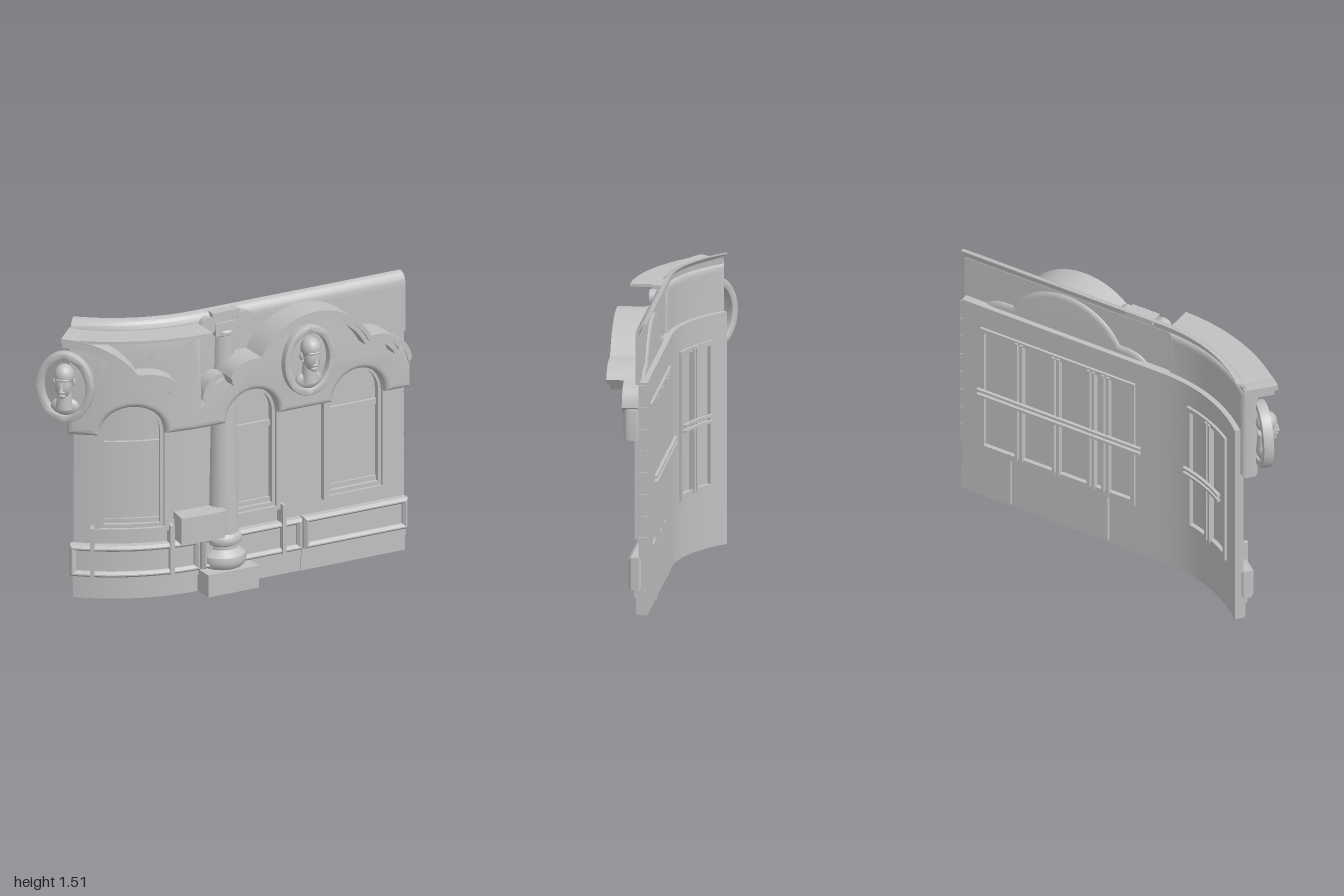
import * as THREE from 'three';
import { toCreasedNormals } from 'three/addons/utils/BufferGeometryUtils.js';

const stone = new THREE.MeshStandardMaterial({ color: 0xc0c0c0, side: THREE.DoubleSide });
stone.name = 'grey stone';

// The facade is flat for x > BEND and wraps round an arc to the right of that
const BEND = -0.2, R = 0.844, ARC = 0.87, LEFT_BAY = -0.86, RIGHT_BAY = 0.39;
const WINDOWS = [0.70, 0.08, -0.55];

function bendPoint(p) {
  if (p.x >= BEND) return p.clone();
  const a = (BEND - p.x) / ARC, r = R + p.z;
  return new THREE.Vector3(BEND - r * Math.sin(a), p.y, r * Math.cos(a) - R);
}

// Cuts triangles at x = c so that long faces can follow the arc
function slice(tris, c) {
  const out = [];
  for (const t of tris) {
    const side = t.map(p => p.x < c - 1e-6 ? -1 : p.x > c + 1e-6 ? 1 : 0);
    if (!side.includes(-1) || !side.includes(1)) { out.push(t); continue; }
    const i = side.findIndex((s, k) => s && !side.some((o, j) => j !== k && o === s));
    const a = t[i], b = t[(i + 1) % 3], d = t[(i + 2) % 3];
    const cut = q => a.clone().lerp(q, THREE.MathUtils.clamp((c - a.x) / (q.x - a.x), 0, 1));
    const p = cut(b), q = cut(d);
    out.push([a, p, q], [p, b, d], [p, d, q]);
  }
  // Drop slivers with no area
  return out.filter(([a, b, d]) => b.clone().sub(a).cross(d.clone().sub(a)).length() > 1e-9);
}

function bend(geo) {
  const pos = (geo.index ? geo.toNonIndexed() : geo).attributes.position;
  let tris = [];
  for (let i = 0; i < pos.count; i += 3)
    tris.push([0, 1, 2].map(k => new THREE.Vector3().fromBufferAttribute(pos, i + k)));
  for (let k = 0; k < 11; k++) tris = slice(tris, BEND - k * 0.065);
  const g = new THREE.BufferGeometry().setFromPoints(tris.flat().map(bendPoint));
  return toCreasedNormals(g, 0.6);
}

// Hood outline for one half of a bay, from the crown to the tail
function hoodHalf() {
  const pts = [], v = (x, y) => new THREE.Vector2(x, y);
  for (let i = 0; i <= 14; i++) {
    const a = 1.072 * i / 14;
    pts.push(v(0.3645 * Math.sin(a), 1.1055 + 0.3645 * Math.cos(a)));
  }
  const shoulder = new THREE.QuadraticBezierCurve(v(0.32, 1.28), v(0.46, 1.29), v(0.5, 1.2));
  const tail = new THREE.QuadraticBezierCurve(v(0.5, 1.2), v(0.59, 1.19), v(0.61, 1.08));
  return { main: pts, shoulder: shoulder.getPoints(7), tail: tail.getPoints(7) };
}

function archShape(cx, half, bottom, spring = 0.91, Type = THREE.Shape) {
  const s = new Type();
  s.moveTo(cx - half, bottom).lineTo(cx + half, bottom).lineTo(cx + half, spring);
  s.absarc(cx, spring, half, 0, Math.PI, false);
  s.closePath();
  return s;
}

function rect(x0, x1, y0, y1, Type = THREE.Shape) {
  return new Type([[x0, y0], [x1, y0], [x1, y1], [x0, y1]].map(p => new THREE.Vector2(...p)));
}

function slab(shape, z0, z1, extra = {}) {
  return new THREE.ExtrudeGeometry(shape, { depth: z1 - z0, bevelEnabled: false, curveSegments: 16, ...extra })
    .translate(0, 0, z0);
}

export function createModel() {
  const root = new THREE.Group();
  const add = (name, geo, parent = root) => {
    const m = new THREE.Mesh(geo, stone);
    m.name = name;
    parent.add(m);
    return m;
  };
  const part = (name, geo) => add(name, bend(geo));
  const block = (name, x0, x1, y0, y1, z0, z1) => part(name,
    new THREE.BoxGeometry(x1 - x0, y1 - y0, z1 - z0).translate((x0 + x1) / 2, (y0 + y1) / 2, (z0 + z1) / 2));

  // Walls: arched openings in front, rectangular ones behind
  const front = rect(-0.84, 0.99, 0, 1.21);
  WINDOWS.forEach(x => front.holes.push(archShape(x, 0.145, 0.40, 0.91, THREE.Path)));
  part('frontWall', slab(front, 0.022, 0.05));
  const back = rect(-0.84, 0.99, 0, 1.21);
  const openings = [[-0.035, 0.865], [-0.715, -0.385]];
  openings.forEach(([a, b]) => back.holes.push(rect(a, b, 0.32, 1.07, THREE.Path)));
  part('backWall', slab(back, 0.004, 0.022));

  // Upper wall with hollows behind the hoods
  const half = hoodHalf();
  const upper = new THREE.Shape();
  upper.moveTo(-0.85, 1.45);
  half.main.slice(1).forEach(p => upper.lineTo(LEFT_BAY + p.x * 0.95, p.y - 0.03));
  upper.lineTo(-0.556, 1.2).lineTo(1, 1.2).lineTo(1, 1.45).closePath();
  const hollow = new THREE.Path();
  hollow.moveTo(RIGHT_BAY - 0.304, 1.212).lineTo(RIGHT_BAY + 0.304, 1.212);
  [...half.main].reverse().forEach(p => hollow.lineTo(RIGHT_BAY + p.x * 0.95, p.y - 0.03));
  half.main.slice(1).forEach(p => hollow.lineTo(RIGHT_BAY - p.x * 0.95, p.y - 0.03));
  upper.holes.push(hollow);
  part('upperWall', slab(upper, 0.045, 0.065));

  // Cornice: a thin sheet rolling backward at the top, swept along the wall
  const profile = [[0.048, 1.445], [0.065, 1.445], [0.064, 1.468], [0.057, 1.489], [0.043, 1.505], [0.028, 1.512],
    [0.01, 1.515], [0.01, 1.508], [0.03, 1.5], [0.044, 1.482]];
  const cornice = new THREE.Shape(profile.map(([z, y]) => new THREE.Vector2(-z, y)));
  part('cornice', slab(cornice, 0, 1.85).rotateY(Math.PI / 2).translate(-0.85, 0, 0));

  // Fascia under the hoods, scalloped over the windows; it meets the canopy on the curved side
  const fascia = new THREE.Shape();
  fascia.moveTo(LEFT_BAY, 0.91);
  [...WINDOWS].reverse().forEach(x => {
    fascia.lineTo(x - 0.155, 0.91);
    fascia.absarc(x, 0.91, 0.155, Math.PI, 0, true);
  });
  fascia.lineTo(1, 0.91);
  const outline = [...half.main, ...half.shoulder.slice(1), ...half.tail.slice(1)];
  [...outline].reverse().forEach(p => fascia.lineTo(RIGHT_BAY + p.x, p.y - 0.02));
  outline.slice(1).forEach(p => fascia.lineTo(RIGHT_BAY - p.x, p.y - 0.02));
  fascia.lineTo(-0.22, 1.455).lineTo(LEFT_BAY, 1.455).closePath();
  part('fascia', slab(fascia, 0.06, 0.1, { bevelEnabled: true, bevelThickness: 0.028, bevelSize: 0.03, bevelOffset: -0.03, bevelSegments: 5 }));

  // Stepped hoods: two courses per piece
  const hoodPiece = (name, pts, cx, sign, depth) => {
    [[0, 0.028, depth], [0.026, 0.055, depth - 0.018]].forEach(([t0, t1, z]) => {
      const at = (p, t) => new THREE.Vector2(cx + sign * p.x * (1 - t * 1.1), p.y - t);
      const s = new THREE.Shape([...pts.map(p => at(p, t0)), ...[...pts].reverse().map(p => at(p, t1))]);
      part(name, slab(s, 0.05, z));
    });
  };
  [[RIGHT_BAY, 1], [RIGHT_BAY, -1], [LEFT_BAY, 1]].forEach(([cx, sign]) => {
    hoodPiece('hoodArch', half.main, cx, sign, 0.226);
    hoodPiece('hoodShoulder', half.shoulder, cx, sign, 0.226);
  });
  [1, -1].forEach(sign => hoodPiece('hoodTail', half.tail, RIGHT_BAY, sign, 0.135));
  block('curvedCanopy', -0.86, -0.21, 1.45, 1.465, 0.05, 0.222);

  // Windows: stepped arched surround, transom and sill
  WINDOWS.forEach(x => {
    [[0.185, 0.157, 0.37, 0.388, 0.082], [0.162, 0.14, 0.386, 0.41, 0.066]].forEach(([o, i, b0, b1, z]) => {
      const s = archShape(x, o, b0);
      s.holes.push(archShape(x, i, b1, 0.91, THREE.Path));
      part('windowSurround', slab(s, 0.045, z));
    });
    block('transom', x - 0.145, x + 0.145, 0.82, 0.85, 0.015, 0.04);
    block('lowerRail', x - 0.145, x + 0.145, 0.40, 0.43, 0.015, 0.035);
  });

  // Panes, frames and glazing bars seen from behind
  const bars = [[0.64, 0.42, 0.21, 0.125], [-0.55]], crossBars = [[-0.09, 0.88], [-0.69, -0.37]];
  openings.forEach(([a, b], k) => {
    block('pane', a - 0.035, b + 0.015, 0.32, 1.07, 0.013, 0.022);
    const f = rect(a - 0.01, b + 0.01, 0.30, 1.08);
    f.holes.push(rect(a + 0.014, b - 0.014, 0.335, 1.055, THREE.Path));
    part('backFrame', slab(f, -0.01, 0.013));
    bars[k].forEach(x => [-0.014, 0.014].forEach(o =>
      block('glazingBar', x + o - 0.008, x + o + 0.008, 0.32, 1.07, -0.02, 0.014)));
    const [c, d] = crossBars[k];
    [0.66, 0.69].forEach(y => block('crossBar', c, d, y, y + 0.014, -0.036, -0.018));
  });
  [0.70, 0.12].forEach(x => block('rearPipe', x - 0.008, x + 0.008, 0.02, 0.34, -0.012, 0.006));

  // Plinth stones and the panelled band above them
  [[-0.84, -0.34, 0.062], [-0.34, -0.2, 0.05], [-0.2, 0.39, 0.062], [0.39, 0.7, 0.065], [0.7, 1, 0.062]].forEach(([a, b, z]) => {
    block('plinth', a, b, 0.005, 0.09, 0.01, z);
    block('plinthCap', a, b, 0.09, 0.13, 0.01, z + 0.01);
  });
  [[-0.85, -0.21], [-0.2, 0.385], [0.395, 1]].forEach(([a, b]) => {
    block('panelBack', a + 0.01, b - 0.01, 0.14, 0.29, 0.045, 0.078);
    const s = rect(a, b, 0.13, 0.30);
    s.holes.push(rect(a + 0.03, b - 0.03, 0.16, 0.27, THREE.Path));
    part('panelFrame', slab(s, 0.05, 0.088, { bevelEnabled: true, bevelThickness: 0.016, bevelSize: 0.012, bevelOffset: -0.012, bevelSegments: 1 }));
  });
  [0.27, -0.36, -0.74].forEach(x => block('frontPipe', x - 0.01, x + 0.01, 0.13, 0.40, 0.05, 0.11));
  [0.08, -0.55].forEach(x => block('sill', x - 0.19, x + 0.19, 0.37, 0.39, 0.05, 0.085));

  // Quoins along the free end
  for (let i = 0; i < 8; i++) block('quoin', 0.985, 1, 0.3 + i * 0.113, 0.405 + i * 0.113, 0.004, 0.05);

  // Letter box beside the column
  block('wallBox', -0.33, -0.1, 0.305, 0.42, 0.05, 0.15);
  block('wallBoxLid', -0.335, -0.095, 0.42, 0.455, 0.05, 0.165);

  // Half column standing against the wall
  const column = new THREE.Group();
  column.name = 'column';
  column.position.set(-0.058, 0, 0.05);
  root.add(column);
  add('columnFoot', new THREE.BoxGeometry(0.295, 0.12, 0.155).translate(0, 0.062, 0.0375), column);
  const shaft = [[0.1, 0.12], [0.113, 0.132], [0.123, 0.16], [0.116, 0.188], [0.095, 0.205], [0.078, 0.22], [0.078, 0.24], [0.095, 0.25],
    [0.102, 0.27], [0.095, 0.295], [0.083, 0.305], [0.08, 0.4], [0.07, 0.9], [0.055, 1.38], [0.063, 1.385], [0.063, 1.4], [0.05, 1.41]];
  const shaftGeo = new THREE.LatheGeometry(shaft.map(p => new THREE.Vector2(...p)), 24, -Math.PI / 2, Math.PI).scale(1, 1, 0.93);
  add('columnShaft', toCreasedNormals(shaftGeo, 0.6), column);
  add('capital', new THREE.BoxGeometry(0.13, 0.07, 0.045).translate(0, 1.42, 0.025), column);
  add('capitalBand', new THREE.BoxGeometry(0.22, 0.035, 0.035).translate(0, 1.468, 0.018), column);
  add('abacus', new THREE.BoxGeometry(0.16, 0.025, 0.075).translate(0, 1.498, 0), column);
  [-1, 1].forEach(s => {
    add('volute', toCreasedNormals(new THREE.CylinderGeometry(0.047, 0.047, 0.045, 20).rotateX(Math.PI / 2), 0.6), column)
      .position.set(s * 0.105, 1.448, 0.02);
  });

  // Medallions with a portrait bust
  const ellipse = (rx, ry, Type) => { const e = new Type(); e.absellipse(0, 0, rx, ry, 0, Math.PI * 2); return e; };
  [RIGHT_BAY, LEFT_BAY].forEach(x => {
    const g = new THREE.Group();
    g.name = 'medallion';
    g.position.copy(bendPoint(new THREE.Vector3(x, 1.18, 0.125)));
    g.rotation.y = x < BEND ? (x - BEND) / ARC : 0;
    root.add(g);
    const ring = ellipse(0.143, 0.183, THREE.Shape);
    ring.holes.push(ellipse(0.117, 0.155, THREE.Path));
    add('medallionRing', toCreasedNormals(slab(ring, -0.005, 0.035, { curveSegments: 32, bevelEnabled: true, bevelThickness: 0.008, bevelSize: 0.006, bevelSegments: 2 }), 0.6), g);
    const ball = (name, px, py, pz, sx, sy, sz) => {
      const m = add(name, new THREE.SphereGeometry(1, 20, 14), g);
      m.position.set(px, py, pz);
      m.scale.set(sx, sy, sz);
    };
    ball('skull', 0, 0.072, 0.04, 0.052, 0.06, 0.056);
    ball('face', 0, 0.025, 0.055, 0.043, 0.07, 0.043);
    ball('chin', 0, -0.028, 0.077, 0.02, 0.016, 0.016);
    ball('brow', 0, 0.058, 0.083, 0.036, 0.01, 0.014);
    ball('mouth', 0, -0.006, 0.09, 0.018, 0.008, 0.01);
    [-1, 1].forEach(s => ball('ear', s * 0.052, 0.035, 0.035, 0.008, 0.02, 0.013));
    add('nose', new THREE.ConeGeometry(0.013, 0.045, 8).translate(0, 0.03, 0.098), g);
    add('neck', new THREE.CylinderGeometry(0.034, 0.045, 0.11, 20).translate(0, -0.055, 0.03), g);
    ball('shoulders', 0, -0.105, 0.018, 0.075, 0.05, 0.03);
  });
  return root;
}
